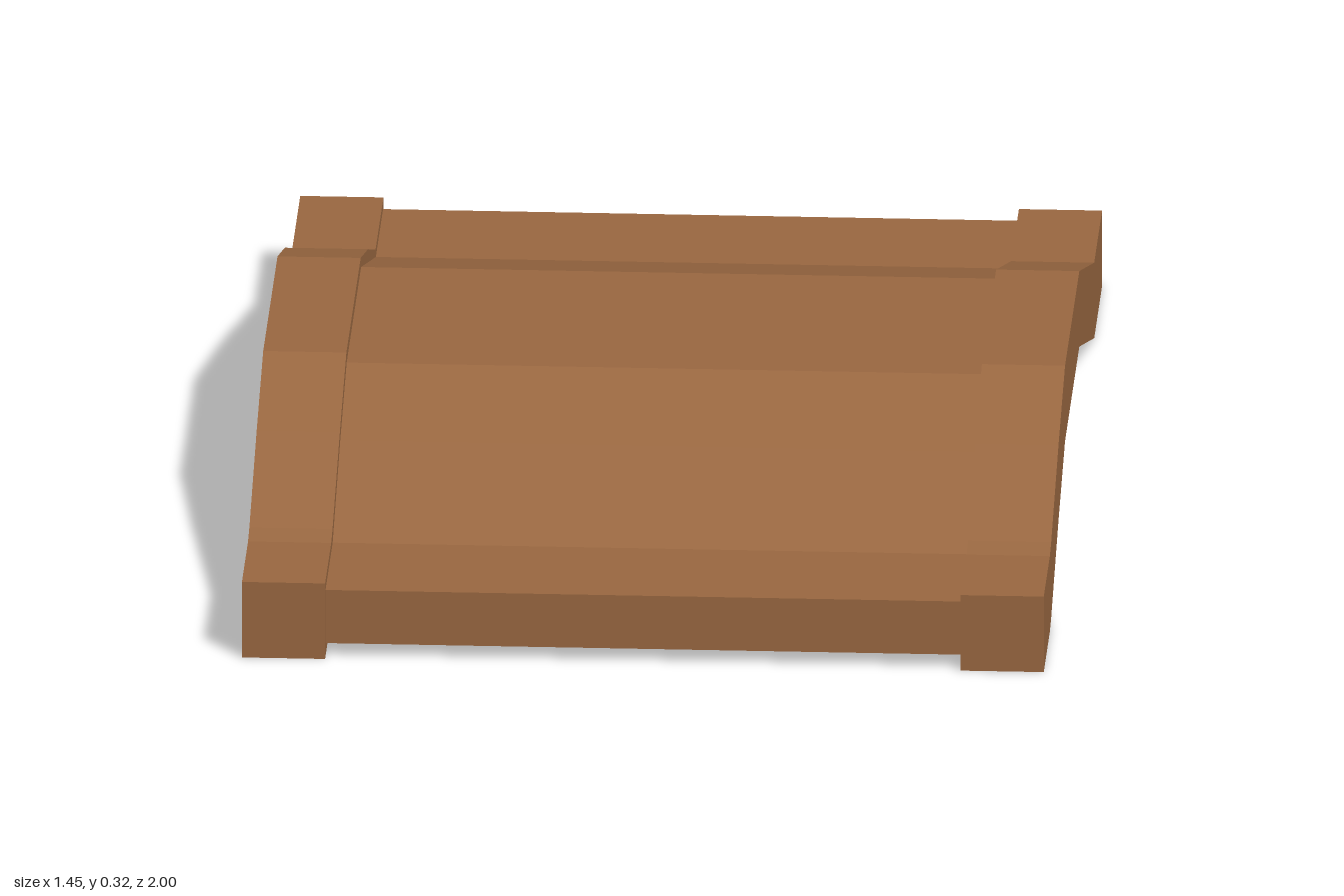
import * as THREE from 'three';

const wood = new THREE.MeshStandardMaterial({ color: 0x9a6841, flatShading: true });

// Extrudes a side profile (lower and upper lines of [z, y]) across x.
function span(name, lower, upper, x0, x1) {
  const points = [...lower, ...upper.slice().reverse()].map(([z, y]) => new THREE.Vector2(z, y));
  const geometry = new THREE.ExtrudeGeometry(new THREE.Shape(points), { depth: x1 - x0, bevelEnabled: false });
  geometry.rotateY(-Math.PI / 2); // profile x becomes z
  geometry.translate(x1, 0, 0);
  const mesh = new THREE.Mesh(geometry, wood);
  mesh.name = name;
  return mesh;
}

const raise = (line, dy) => line.map(([z, y]) => [z, y + dy]);

export function createModel() {
  const bridge = new THREE.Group();
  bridge.name = 'archedBridge';

  // Underside of the arch, back to front
  const front = [[-0.22, 0.173], [0.27, 0.173], [0.495, 0.103], [0.745, 0.01], [0.79, 0], [1, 0]];
  const leftLine = [[-1, 0], [-0.73, 0], ...front];
  const rightLine = [[-1, 0], [-0.73, 0], [-0.47, 0.097], ...front];

  // Side beams
  bridge.add(span('leftBeam', leftLine, raise(leftLine, 0.145), 0.573, 0.723));
  bridge.add(span('rightBeam', rightLine, raise(rightLine, 0.145), -0.723, -0.573));

  // Thinner deck set between the beams
  const deckLine = [[-0.988, 0], [-0.74, 0], [-0.235, 0.168], [0.26, 0.168], [0.48, 0.1], [0.74, 0], [0.985, 0]];
  bridge.add(span('deck', raise(deckLine, 0.025), raise(deckLine, 0.127), -0.574, 0.574));

  return bridge;
}
